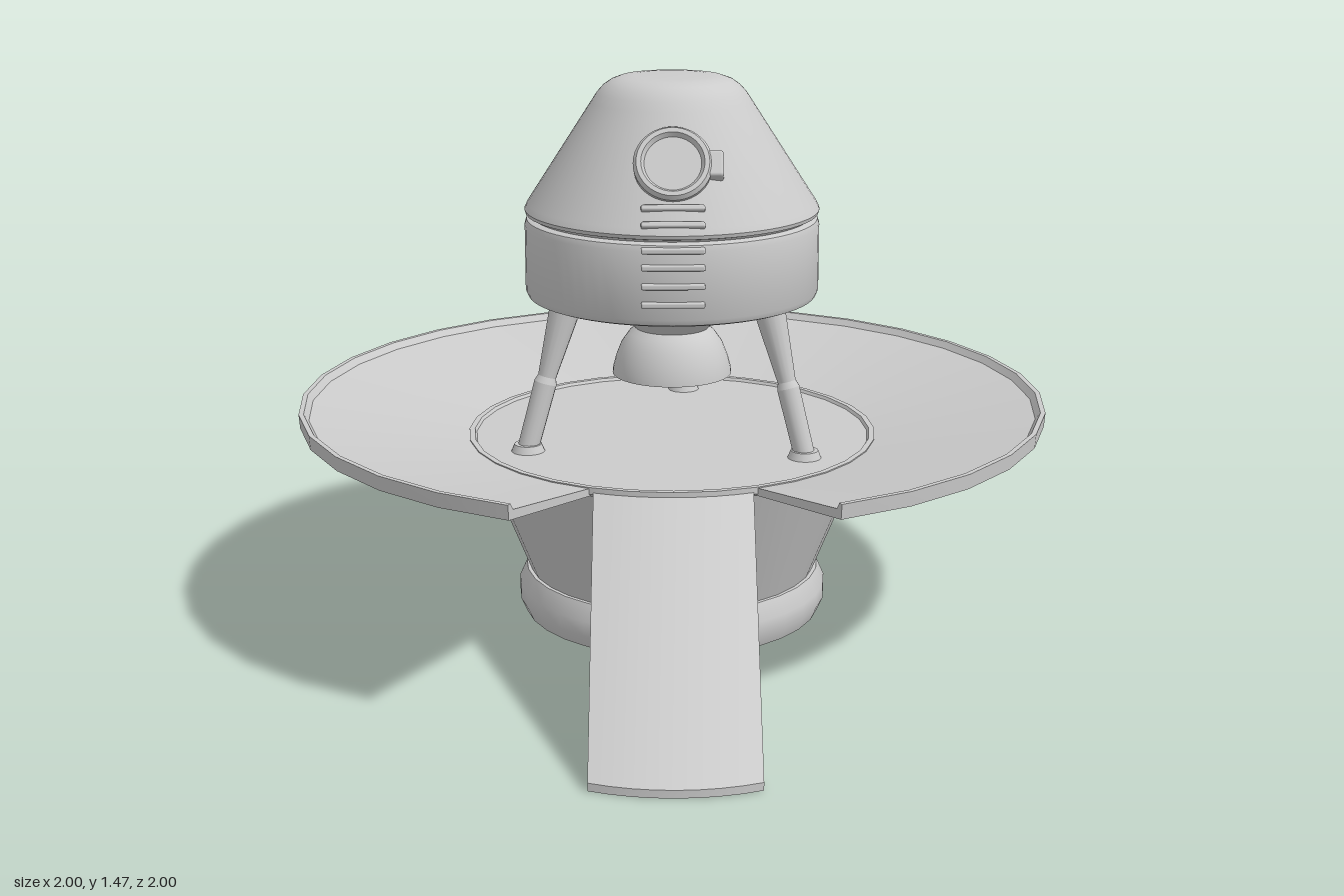
import * as THREE from 'three';
import { toCreasedNormals } from 'three/addons/utils/BufferGeometryUtils.js';
import { RoundedBoxGeometry } from 'three/addons/geometries/RoundedBoxGeometry.js';

const grey = new THREE.MeshStandardMaterial({ color: 0xcccccc });
const greyBoth = new THREE.MeshStandardMaterial({ color: 0xcccccc, side: THREE.DoubleSide });
const DEG = Math.PI / 180;
const RAMP_ANGLE = -45 * DEG;

function add(parent, name, geometry, material = grey) {
  const mesh = new THREE.Mesh(geometry, material);
  mesh.name = name;
  parent.add(mesh);
  return mesh;
}

// Group whose local +z points outward at the given angle round the y axis
function spoke(parent, name, angle) {
  const group = new THREE.Group();
  group.name = name;
  group.rotation.y = angle;
  parent.add(group);
  return group;
}

function lathe(profile, segments = 32, start = 0, length = Math.PI * 2) {
  const points = profile.map(([r, y]) => new THREE.Vector2(r, y));
  return toCreasedNormals(new THREE.LatheGeometry(points, segments, start, length), 30 * DEG);
}

// Tapered rod between two points
function rod(parent, name, a, b, ra, rb) {
  const dir = b.clone().sub(a);
  const mesh = add(parent, name, new THREE.CylinderGeometry(rb, ra, dir.length(), 16));
  mesh.position.copy(a).addScaledVector(dir, 0.5);
  mesh.quaternion.setFromUnitVectors(new THREE.Vector3(0, 1, 0), dir.normalize());
  return mesh;
}

// Launch pad: hollow hull, deck and dish with a wedge left open
function buildPad(model) {
  add(model, 'padHull', lathe([[0.39, 0.135], [0.53, 0.49]]), greyBoth);
  add(model, 'padFootRing', lathe([
    [0.385, 0.015], [0.405, 0.015], [0.42, 0.05], [0.42, 0.09], [0.4, 0.135],
    [0.38, 0.135], [0.385, 0.015],
  ]), greyBoth);
  add(model, 'deck', lathe([
    [0, 0.485], [0.535, 0.485], [0.55, 0.495], [0.55, 0.513], [0.535, 0.513], [0.53, 0.505], [0, 0.505],
  ]));

  const section = [
    [0.54, 0.488], [0.995, 0.572], [0.998, 0.61], [0.985, 0.61], [0.972, 0.592], [0.54, 0.508],
  ];
  const start = -22.5 * DEG, sweep = 315 * DEG;
  add(model, 'dish', lathe([...section, section[0]], 28, start, sweep), greyBoth);
  const capShape = new THREE.Shape(section.map(([r, y]) => new THREE.Vector2(r, y)));
  for (const angle of [start, start + sweep]) {
    add(model, 'dishCutFace', new THREE.ShapeGeometry(capShape), greyBoth).rotation.y = angle - Math.PI / 2;
  }
}

// Ramp: a curved strip sheared from the deck edge to the ground
function buildRamp(model) {
  const ramp = spoke(model, 'rampGroup', RAMP_ANGLE);
  const geometry = new THREE.BoxGeometry(0.4, 0.02, 1, 8, 1, 1);
  const p = geometry.attributes.position;
  for (let i = 0; i < p.count; i++) {
    const x = p.getX(i), t = p.getZ(i) + 0.5;
    p.setXYZ(i, x, p.getY(i) + 0.01 + 0.48 * (1 - t), Math.sqrt(0.55 * 0.55 - x * x) + 0.62 * t);
  }
  add(ramp, 'ramp', toCreasedNormals(geometry, 30 * DEG));
  add(ramp, 'rampHinge', new THREE.BoxGeometry(0.4, 0.02, 0.03)).position.set(0, 0.41, 0.445);
}

// Capsule: drum, cone with rounded top, and engine
function buildCapsule(model) {
  add(model, 'capsuleDrum', lathe([
    [0, 0.89], [0.37, 0.89], [0.383, 0.895], [0.39, 0.91], [0.39, 1.085], [0.385, 1.1], [0.37, 1.106], [0, 1.106],
  ], 64));
  add(model, 'capsuleCone', lathe([
    [0.365, 1.1], [0.375, 1.112], [0.387, 1.115], [0.39, 1.125], [0.382, 1.142], [0.212, 1.405],
    [0.197, 1.428], [0.18, 1.447], [0.16, 1.461], [0.135, 1.47], [0.1, 1.473], [0, 1.473],
  ], 64));
  add(model, 'engineCone', lathe([[0, 0.795], [0.095, 0.795], [0.2, 0.895]], 48));
  add(model, 'nozzle', lathe([
    [0.09, 0.805], [0.115, 0.785], [0.136, 0.755], [0.15, 0.72], [0.158, 0.69], [0.16, 0.672],
    [0.152, 0.672], [0.14, 0.72], [0.122, 0.76], [0.08, 0.79], [0, 0.795],
  ].reverse(), 48), greyBoth);
}

// Porthole and vent bars on the ramp side
function buildFittings(model) {
  const side = spoke(model, 'capsuleFittings', RAMP_ANGLE);
  const tilt = -33 * DEG;
  const porthole = new THREE.Group();
  porthole.name = 'porthole';
  porthole.position.set(0, 1.285, 0.287);
  porthole.rotation.x = tilt;
  side.add(porthole);
  const frame = add(porthole, 'portholeFrame', lathe([
    [0.072, -0.02], [0.098, -0.02], [0.1, 0.012], [0.092, 0.024], [0.08, 0.024], [0.072, 0.012], [0.072, -0.02],
  ], 40));
  frame.rotation.x = Math.PI / 2;
  const glass = add(porthole, 'portholeGlass', new THREE.CylinderGeometry(0.074, 0.074, 0.03, 40));
  glass.rotation.x = Math.PI / 2;
  glass.position.z = -0.004;
  add(porthole, 'portholeLatch', new RoundedBoxGeometry(0.045, 0.07, 0.045, 2, 0.008)).position.set(0.105, 0, -0.005);

  const bars = [[1.185, 0.347], [1.147, 0.371], [1.088, 0.384], [1.045, 0.384], [0.997, 0.384], [0.95, 0.384]];
  for (const [y, r] of bars) {
    const bar = add(side, 'ventBar', new RoundedBoxGeometry(0.16, 0.015, 0.03, 2, 0.005));
    bar.position.set(0, y, r);
    if (y > 1.11) bar.rotation.x = tilt;
  }
}

// Three splayed legs with sleeves and round feet
function buildLegs(model) {
  const at = (y) => new THREE.Vector3(0, y, 0.305 + (0.895 - y) * 0.3);
  for (const angle of [10, 130, 250]) {
    const leg = spoke(model, 'leg', angle * DEG);
    rod(leg, 'upperStrut', at(0.91), at(0.69), 0.044, 0.023);
    rod(leg, 'sleeveCollar', at(0.705), at(0.685), 0.023, 0.03);
    rod(leg, 'lowerStrut', at(0.685), at(0.515), 0.03, 0.028);
    add(leg, 'footPad', new THREE.CylinderGeometry(0.036, 0.044, 0.02, 24)).position.set(0, 0.515, 0.42);
  }
}

export function createModel() {
  const model = new THREE.Group();
  model.name = 'landerOnPad';
  buildPad(model);
  buildRamp(model);
  buildCapsule(model);
  buildFittings(model);
  buildLegs(model);
  return model;
}
